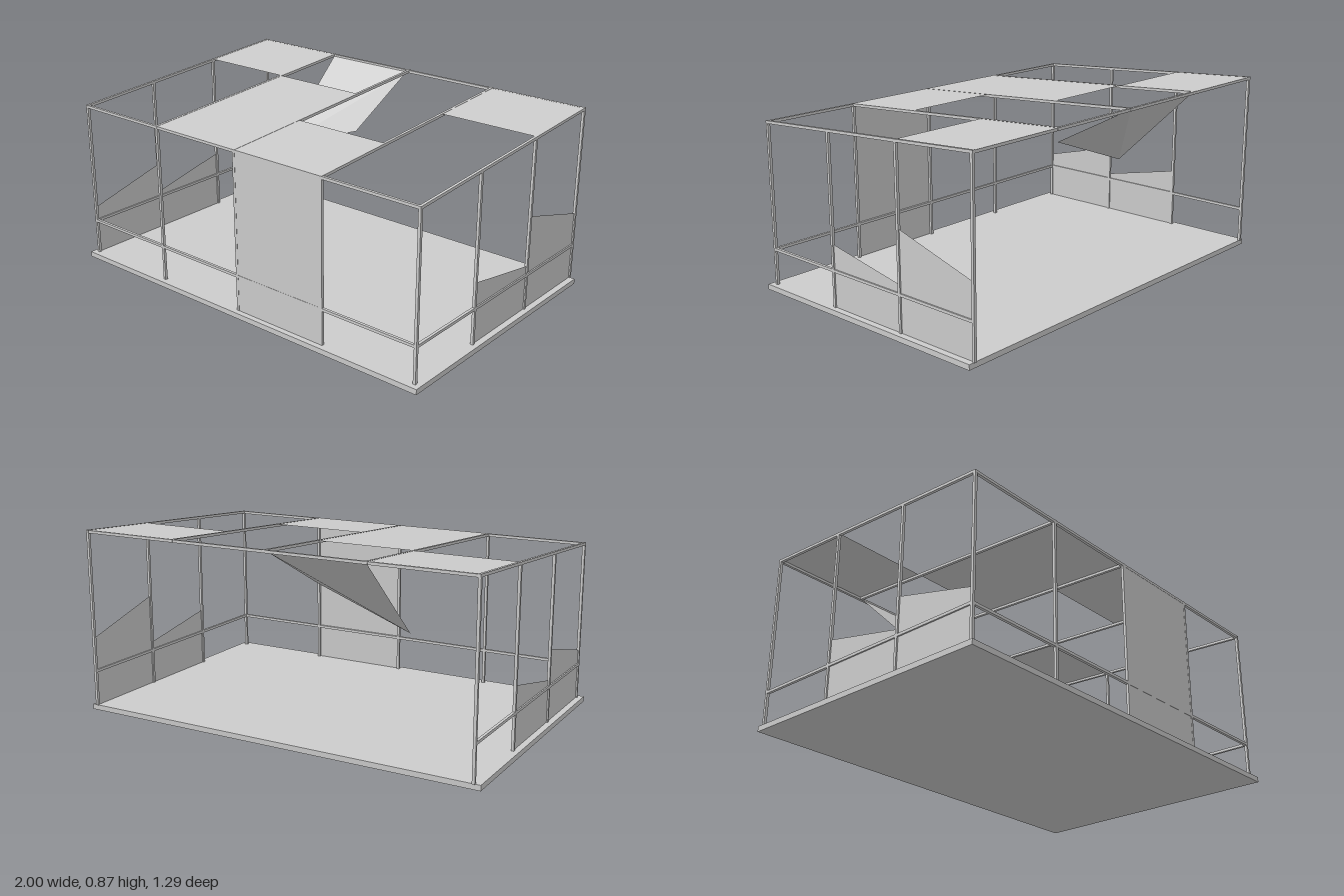
import * as THREE from 'three';

const T = 0.013;                       // bar thickness
const XS = [-0.97, -0.485, 0, 0.485, 0.97];
const ZS = [0.613, 0.2, -0.218, -0.635];
const FLOOR = 0.025, RAIL = 0.194;
const Z_FRONT = 0.62, Z_BACK = -0.643;
const roofTop = z => 0.79 + (Z_FRONT - z) * 0.0635;

export function createModel() {
  const model = new THREE.Group();
  const solid = new THREE.MeshStandardMaterial({ color: 0xcccccc, flatShading: true });
  const sheet = new THREE.MeshStandardMaterial({ color: 0xcccccc, flatShading: true, side: THREE.DoubleSide });

  const box = (name, w, h, d, x, y, z) => {
    const mesh = new THREE.Mesh(new THREE.BoxGeometry(w, h, d), solid);
    mesh.name = name;
    mesh.position.set(x, y, z);
    model.add(mesh);
    return mesh;
  };

  // Thin sheet from four corners
  const pane = (name, a, b, c, d) => {
    const geo = new THREE.BufferGeometry();
    geo.setAttribute('position', new THREE.Float32BufferAttribute([...a, ...b, ...c, ...d], 3));
    geo.setIndex([0, 1, 2, 0, 2, 3]);
    geo.computeVertexNormals();
    const mesh = new THREE.Mesh(geo, sheet);
    mesh.name = name;
    model.add(mesh);
  };

  const post = (name, x, z) => {
    const top = roofTop(z) - T / 2;
    box(name, T, top - FLOOR, T, x, (top + FLOOR) / 2, z);
  };

  // Floor slab
  box('floor', 2, FLOOR, 1.28, 0, FLOOR / 2, 0.005);

  // Upright posts: front row, then both side walls
  XS.forEach(x => post('frontPost', x, ZS[0]));
  for (const x of [XS[0], XS[4]]) {
    ZS.slice(1).forEach(z => post('sidePost', x, z));
    box('sideRail', T, T, ZS[0] - ZS[3], x, RAIL, (ZS[0] + ZS[3]) / 2);
  }

  // Horizontal bars
  const width = XS[4] - XS[0] + T;
  box('frontRail', width, T, T, 0, RAIL, ZS[0]);
  box('frontBeam', width, T, T, 0, roofTop(ZS[0]) - T / 2 - 0.001, ZS[0]);
  box('backBeam', width, T, T, 0, roofTop(ZS[3]) - T / 2 - 0.001, ZS[3]);

  // Sloping rafters
  const run = Z_FRONT - Z_BACK, midZ = (Z_FRONT + Z_BACK) / 2;
  const angle = Math.atan(0.0635);
  for (const x of XS) {
    const rafter = box('rafter', T, T, run / Math.cos(angle), x, roofTop(midZ) - T / 2, midZ);
    rafter.rotation.x = angle;
  }

  // Roof sheets that are still in place: bay edges in x, front and back in z
  const roofSheets = [
    [XS[0], XS[1], ZS[2], ZS[3]],
    [XS[1], XS[2], ZS[0], ZS[2]],
    [XS[2], XS[3], ZS[0], ZS[1]],
    [XS[3], XS[4], ZS[2], ZS[3]],
  ];
  for (const [x0, x1, z0, z1] of roofSheets) {
    const y0 = roofTop(z0) - 0.001, y1 = roofTop(z1) - 0.001;
    pane('roofSheet', [x0, y0, z0], [x1, y0, z0], [x1, y1, z1], [x0, y1, z1]);
  }

  // Loose roof sheet hanging from the back beam
  pane('hangingSheet', [-0.48, 0.477, -0.225], [-0.008, 0.65, -0.225],
    [-0.008, 0.862, -0.632], [-0.48, 0.862, -0.632]);

  // Door panel
  const doorZ = ZS[0] + T / 2 - 0.001;
  pane('door', [-0.006, FLOOR, doorZ], [0.49, FLOOR, doorZ], [0.49, 0.785, doorZ], [-0.006, 0.785, doorZ]);

  // Broken side panes: wall x, bay, height at its front and back edge
  const sidePanes = [
    [XS[0], 0, 0.265, 0.372],
    [XS[0], 1, 0.224, 0.315],
    [XS[4], 1, 0.313, 0.236],
    [XS[4], 2, 0.475, 0.355],
  ];
  for (const [x, bay, h0, h1] of sidePanes) {
    const z0 = ZS[bay], z1 = ZS[bay + 1];
    pane('brokenSidePane', [x, FLOOR, z0], [x, FLOOR, z1], [x, h1, z1], [x, h0, z0]);
  }
  return model;
}
